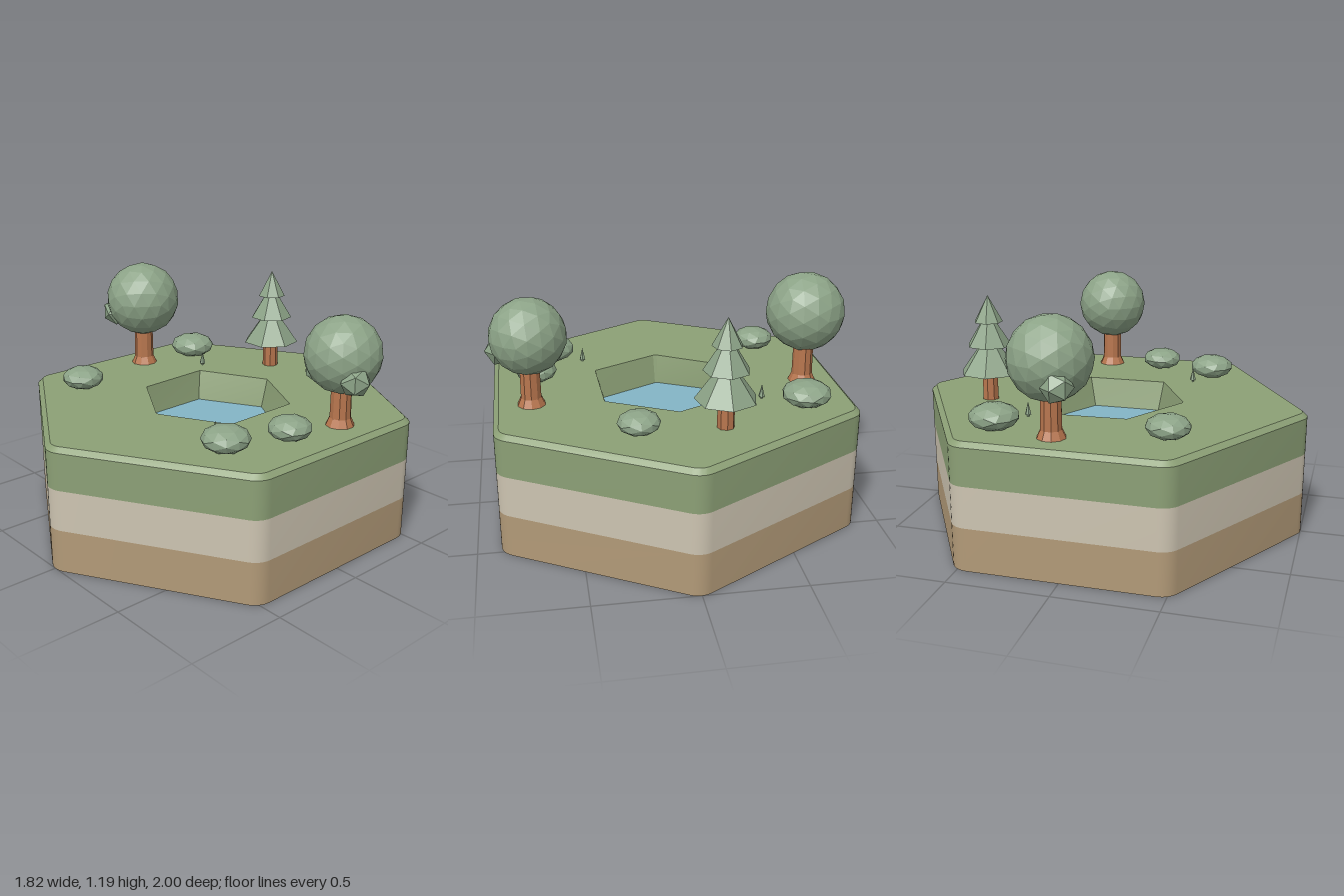
import * as THREE from 'three';
import { mergeVertices, toCreasedNormals } from 'three/addons/utils/BufferGeometryUtils.js';

const mat = (color, flatShading = false) => new THREE.MeshStandardMaterial({ color, flatShading });
const GRASS = mat(0x8ca076), STONE = mat(0xcdc4b1), SOIL = mat(0xb29a78), WATER = mat(0x83b5c6);
const LEAF = mat(0x8ca387, true), BARK = mat(0xb8764e, true);
const GROUND = 0.63;

function add(parent, name, geometry, material, x = 0, y = 0, z = 0) {
  const mesh = new THREE.Mesh(geometry, material);
  mesh.name = name;
  mesh.position.set(x, y, z);
  parent.add(mesh);
  return mesh;
}

// Hexagon outline [x, z] with rounded corners, points towards +z and -z
function roundedHex(apothem, radius, steps = 6) {
  const points = [], reach = (apothem - radius) / Math.cos(Math.PI / 6);
  for (let k = 0; k < 6; k++) {
    const corner = Math.PI / 2 + k * Math.PI / 3;
    for (let i = 0; i <= steps; i++) {
      const a = corner + (i / steps - 0.5) * Math.PI / 3;
      points.push([reach * Math.cos(corner) + radius * Math.cos(a) + 0.005,
        reach * Math.sin(corner) + radius * Math.sin(a)]);
    }
  }
  return points;
}

// Wall through rings of { outline, y }; rings run upwards for outside walls, downwards for inside ones
function loft(rings, crease = 0.35) {
  const n = rings[0].outline.length, position = [], index = [];
  rings.forEach(({ outline, y }) => outline.forEach(([x, z]) => position.push(x, y, z)));
  for (let r = 0; r < rings.length - 1; r++) {
    for (let i = 0; i < n; i++) {
      const a = r * n + i, b = r * n + (i + 1) % n;
      index.push(b, a, a + n, b, a + n, b + n);
    }
  }
  const g = new THREE.BufferGeometry();
  g.setAttribute('position', new THREE.Float32BufferAttribute(position, 3));
  g.setIndex(index);
  return toCreasedNormals(g, crease);
}

// Flat horizontal face, facing up or down
function cap(outline, up = true, hole = null) {
  const sign = up ? -1 : 1;
  const flat = (pts) => pts.map(([x, z]) => new THREE.Vector2(x, sign * z));
  const shape = new THREE.Shape(flat(outline));
  if (hole) shape.holes.push(new THREE.Path(flat(hole)));
  return new THREE.ShapeGeometry(shape).rotateX(sign * Math.PI / 2);
}

// Faceted ball
function ball(radius, detail, turn = 0) {
  return new THREE.IcosahedronGeometry(radius, detail).rotateY(turn);
}

function island(root) {
  const g = new THREE.Group();
  g.name = 'island';
  root.add(g);
  const side = roundedHex(0.88, 0.1), top = roundedHex(0.855, 0.075);
  const rim = [[0, 0.375], [-0.335, 0.175], [-0.355, -0.215], [0, -0.39], [0.345, -0.21], [0.355, 0.2], [0.02, 0.375]];
  const shore = [[0, 0.34], [-0.31, 0.18], [-0.32, -0.175], [0, -0.35], [0.31, -0.175], [0.315, 0.18], [0.015, 0.34]];
  add(g, 'islandBottom', cap(side, false), SOIL);
  add(g, 'soilLayer', loft([{ outline: side, y: 0 }, { outline: side, y: 0.215 }]), SOIL);
  add(g, 'stoneLayer', loft([{ outline: side, y: 0.215 }, { outline: side, y: 0.42 }]), STONE);
  add(g, 'grassLayer', loft([{ outline: side, y: 0.42 }, { outline: side, y: 0.607 }, { outline: top, y: GROUND }]), GRASS);
  add(g, 'grassTop', cap(top, true, rim), GRASS, 0, GROUND);
  add(g, 'pondBank', loft([{ outline: rim, y: GROUND }, { outline: shore, y: 0.48 }]), GRASS);
  add(g, 'pondWater', cap(shore), WATER, 0, 0.48);
}

// Round tree: flared trunk, large crown and a small side tuft
function roundTree(root, name, x, z, radius, crownY, tuft) {
  const g = new THREE.Group();
  g.name = name;
  g.position.set(x, 0, z);
  root.add(g);
  const profile = [[0.07, GROUND], [0.052, GROUND + 0.04], [0.05, crownY - radius * 0.8]];
  add(g, 'trunk', new THREE.LatheGeometry(profile.map(([r, y]) => new THREE.Vector2(r, y)), 10), BARK);
  add(g, 'crown', ball(radius * 1.01, 2, x), LEAF, 0, crownY, 0);
  add(g, 'crownTuft', ball(0.077, 0, x), LEAF, ...tuft);
}

// Pine: trunk and three stacked seven-sided tiers
function pineTree(root, x, z) {
  const g = new THREE.Group();
  g.name = 'pineTree';
  g.position.set(x, 0, z);
  g.rotation.y = Math.PI;
  root.add(g);
  add(g, 'trunk', new THREE.CylinderGeometry(0.04, 0.042, 0.16, 8), BARK, 0, GROUND + 0.08, 0);
  [[0.77, 0.93, 0.15, 0.035], [0.91, 1.05, 0.112, 0.025], [1.03, 1.165, 0.073, 0]].forEach(([y0, y1, r0, r1], i) =>
    add(g, `tier${i + 1}`, new THREE.CylinderGeometry(r1, r0, y1 - y0, 7), LEAF, 0, (y0 + y1) / 2, 0));
}

export function createModel() {
  const root = new THREE.Group();
  root.name = 'hexagonalGarden';
  island(root);
  roundTree(root, 'rightTree', -0.69, -0.085, 0.197, 1.0, [-0.145, -0.09 + 1.0, 0.08]);
  roundTree(root, 'leftTree', 0.7, -0.187, 0.185, 0.982, [0.135, 0.895, 0.067]);
  pineTree(root, -0.18, -0.59);

  // Bushes: x, z, radius, half height
  [[0.225, -0.595, 0.102, 0.055], [-0.625, -0.39, 0.122, 0.064], [-0.555, 0.425, 0.108, 0.058],
    [0.665, 0.12, 0.106, 0.057], [0.565, 0.425, 0.116, 0.062]].forEach(([x, z, r, h], i) => {
    add(root, `bush${i + 1}`, ball(r, 1, i).scale(1, h / r, 1), LEAF, x, 0.685, z);
  });

  // Tiny saplings beside the pond
  [[-0.425, -0.295], [0.41, 0.35]].forEach(([x, z], i) => {
    add(root, `saplingStem${i + 1}`, new THREE.CylinderGeometry(0.006, 0.006, 0.03, 5), LEAF, x, GROUND + 0.012, z);
    add(root, `sapling${i + 1}`, new THREE.ConeGeometry(0.016, 0.065, 6), LEAF, x, GROUND + 0.043, z);
  });
  return root;
}
